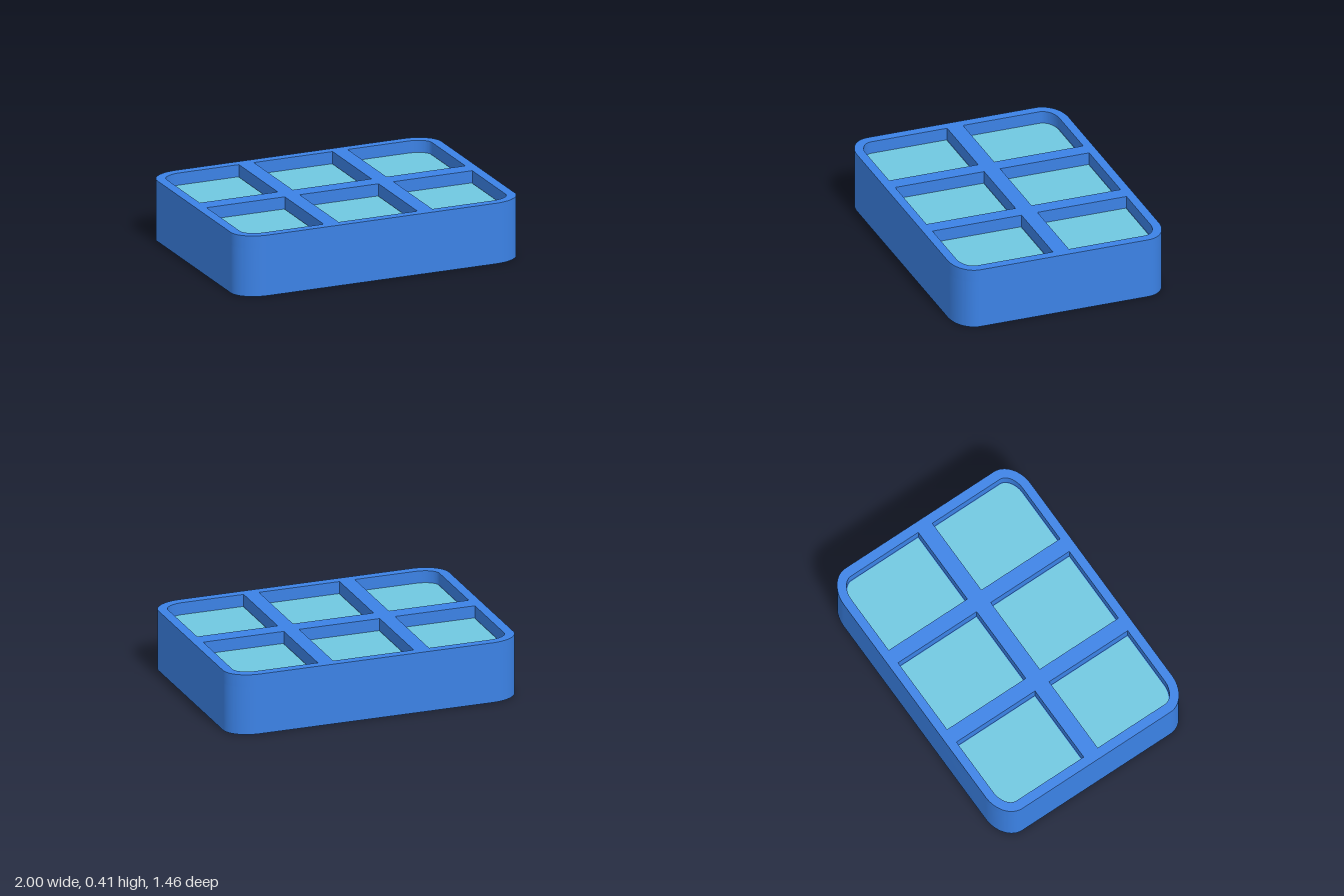
import * as THREE from 'three';
import { toCreasedNormals } from 'three/addons/utils/BufferGeometryUtils.js';

const HEIGHT = 0.41, FLOOR = 0.325, ICE_TOP = 0.33;

// Rectangle outline with elliptical corners; corners are listed as [sx, sy] signs.
function outline(target, x0, x1, y0, y1, rx, ry, isRound) {
  const corners = [[1, 1], [-1, 1], [-1, -1], [1, -1]];
  corners.forEach(([sx, sy], i) => {
    const x = sx > 0 ? x1 : x0, y = sy > 0 ? y1 : y0;
    if (isRound(sx, sy)) {
      const a = i * Math.PI / 2;
      const cx = x - sx * rx, cy = y - sy * ry;
      const px = cx + rx * Math.cos(a), py = cy + ry * Math.sin(a);
      if (i === 0) target.moveTo(px, py); else target.lineTo(px, py);
      target.absellipse(cx, cy, rx, ry, a, a + Math.PI / 2, false, 0);
    } else if (i === 0) target.moveTo(x, y);
    else target.lineTo(x, y);
  });
  target.closePath();
  return target;
}

// Upright slab from a plan outline
function slab(shape, y, height) {
  const geo = new THREE.ExtrudeGeometry(shape, { depth: height, bevelEnabled: false, curveSegments: 12 });
  geo.rotateX(-Math.PI / 2);
  geo.translate(0, y, 0);
  return toCreasedNormals(geo, 0.6);
}

export function createModel() {
  const group = new THREE.Group();
  const blue = new THREE.MeshStandardMaterial({ color: 0x3b82e6 });
  const aqua = new THREE.MeshStandardMaterial({ color: 0x70c8e0 });
  const add = (name, geo, mat) => {
    const mesh = new THREE.Mesh(geo, mat);
    mesh.name = name;
    group.add(mesh);
  };
  const body = () => outline(new THREE.Shape(), -1, 1, -0.73, 0.73, 0.2, 0.15, () => true);

  // Six compartments: three columns by two rows, rounded at the tray's outer corners
  const cells = [];
  for (const row of [-1, 1]) {
    for (const col of [-1, 0, 1]) {
      cells.push((target, inset) => {
        const [x0, x1] = [[-0.935, -0.385], [-0.28, 0.275], [0.38, 0.935]][col + 1];
        const [y0, y1] = row > 0 ? [0.055, 0.67] : [-0.67, -0.055];
        return outline(target, x0 + inset, x1 - inset, y0 + inset, y1 - inset,
          0.135 - inset, 0.09 - inset, (sx, sy) => sx === col && sy === row);
      });
    }
  }

  // Solid base and the walled upper part
  add('trayBase', slab(body(), 0, FLOOR), blue);
  const walls = body();
  cells.forEach((cell) => walls.holes.push(cell(new THREE.Path(), 0)));
  add('trayWalls', slab(walls, FLOOR, HEIGHT - FLOOR), blue);

  // Ice in each compartment
  cells.forEach((cell) => add('iceBlock', slab(cell(new THREE.Shape(), 0.006), FLOOR, ICE_TOP - FLOOR), aqua));

  return group;
}
